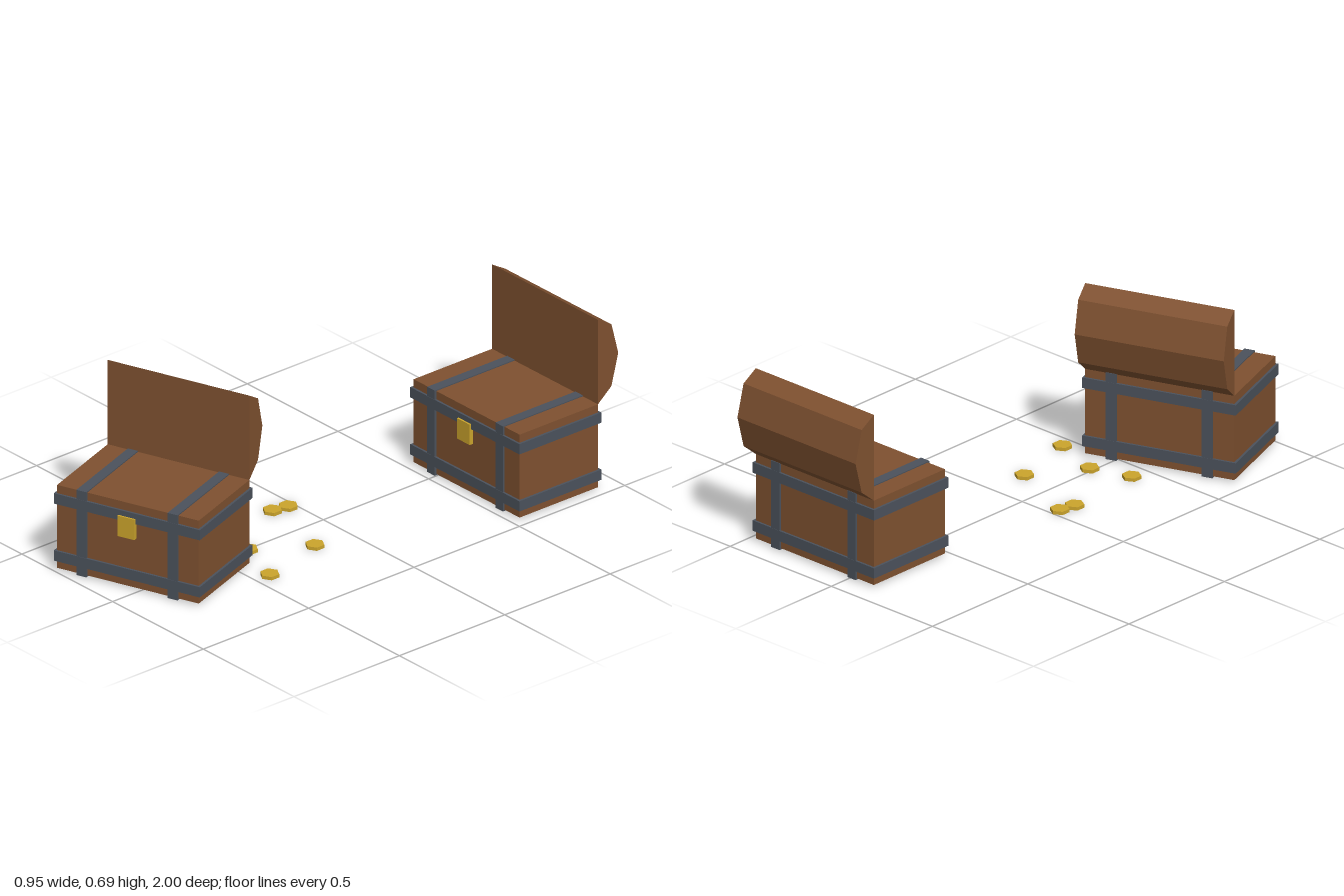
import * as THREE from 'three';

const wood = new THREE.MeshStandardMaterial({ color: 0x7f5130 });
wood.name = 'brownWood';
const iron = new THREE.MeshStandardMaterial({ color: 0x4b525c });
iron.name = 'greyIron';
const gold = new THREE.MeshStandardMaterial({ color: 0xcba42c });
gold.name = 'gold';

function addBox(parent, name, material, size, position) {
  const mesh = new THREE.Mesh(new THREE.BoxGeometry(...size), material);
  mesh.name = name;
  mesh.position.set(...position);
  parent.add(mesh);
  return mesh;
}

function makeChest(name) {
  const chest = new THREE.Group();
  chest.name = name;
  const width = 0.584;

  addBox(chest, 'body', wood, [width, 0.334, 0.372], [0, 0.178, 0]);

  // Open lid: faceted half barrel standing on the back edge
  const profile = [[0.186, 0.345], [0.25, 0.398], [0.282, 0.522], [0.25, 0.646], [0.186, 0.685]];
  const shape = new THREE.Shape(profile.map(([z, y]) => new THREE.Vector2(z, y)));
  const lidGeometry = new THREE.ExtrudeGeometry(shape, { depth: width, bevelEnabled: false });
  lidGeometry.translate(0, 0, -width / 2);
  lidGeometry.rotateY(Math.PI / 2); // profile's first axis now points to the back
  const lid = new THREE.Mesh(lidGeometry, wood);
  lid.name = 'lid';
  chest.add(lid);

  // Horizontal bands around all four sides
  for (const y of [0.062, 0.292]) {
    addBox(chest, 'horizontalBand', iron, [0.602, 0.041, 0.389], [0, y, 0]);
  }
  // Vertical straps over front, top, back and bottom
  for (const side of [-1, 1]) {
    addBox(chest, 'verticalStrap', iron, [0.041, 0.343, 0.387], [side * 0.188, 0.1775, 0]);
  }

  addBox(chest, 'lock', gold, [0.07, 0.082, 0.022], [0, 0.251, 0.191]);
  return chest;
}

export function createModel() {
  const model = new THREE.Group();
  model.name = 'treasureChests';

  const backChest = makeChest('backChest');
  backChest.position.set(0.172, 0, -0.718);
  const frontChest = makeChest('frontChest');
  frontChest.position.set(-0.107, 0, 0.715);
  frontChest.rotation.y = THREE.MathUtils.degToRad(20);
  model.add(backChest, frontChest);

  // Scattered six-sided coins
  const coinGeometry = new THREE.CylinderGeometry(0.036, 0.036, 0.013, 6).toNonIndexed();
  coinGeometry.computeVertexNormals();
  const spots = [[-0.155, 0.033], [-0.167, 0.098], [0.142, 0.162], [0.012, 0.366], [-0.147, 0.418], [0.214, 0.438]];
  for (const [x, z] of spots) {
    const coin = new THREE.Mesh(coinGeometry, gold);
    coin.name = 'coin';
    coin.position.set(x, 0.0065, z);
    model.add(coin);
  }
  return model;
}
